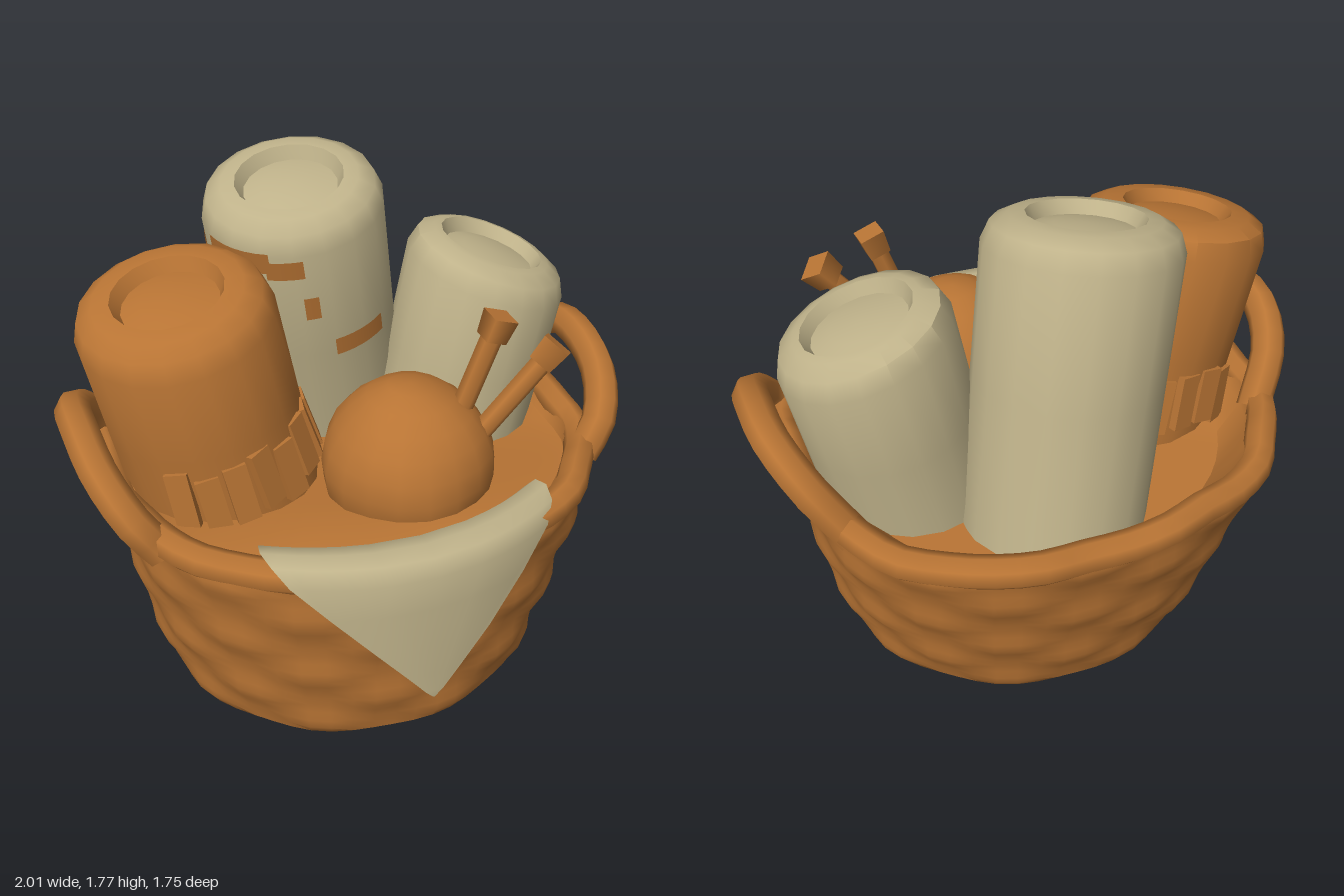
import * as THREE from 'three';
import { mergeVertices, toCreasedNormals } from 'three/addons/utils/BufferGeometryUtils.js';

const V = (x, y, z) => new THREE.Vector3(x, y, z);

// Radius factor that squares an oval slightly, at angle t
const squarish = t => Math.pow(Math.abs(Math.sin(t)) ** 2.4 + Math.abs(Math.cos(t)) ** 2.4, -1 / 2.4);

export function createModel() {
  const model = new THREE.Group();
  const wicker = new THREE.MeshStandardMaterial({ name: 'warm brown', color: 0xb87434 });
  const cream = new THREE.MeshStandardMaterial({ name: 'cream linen', color: 0xbfb28a });
  const brownSheet = new THREE.MeshStandardMaterial({ name: 'warm brown lining', color: 0xb87434 });
  brownSheet.side = THREE.DoubleSide;

  const add = (name, geometry, material, parent = model) => {
    const mesh = new THREE.Mesh(geometry, material);
    mesh.name = name;
    parent.add(mesh);
    return mesh;
  };

  // Move every vertex by a rule, then rebuild normals
  const deform = (geometry, rule, crease = 0.7) => {
    geometry.deleteAttribute('uv');
    geometry.deleteAttribute('normal');
    const g = mergeVertices(geometry, 1e-4);
    const p = g.attributes.position, v = V(0, 0, 0);
    for (let i = 0; i < p.count; i++) {
      rule(v.fromBufferAttribute(p, i));
      p.setXYZ(i, v.x, v.y, v.z);
    }
    return toCreasedNormals(g, crease);
  };

  // Group whose local y runs from a to b
  const along = (name, a, b) => {
    const g = new THREE.Group();
    g.name = name;
    g.position.copy(a);
    g.quaternion.setFromUnitVectors(V(0, 1, 0), b.clone().sub(a).normalize());
    model.add(g);
    return g;
  };

  // Basket: flared oval wall with over-and-under weave, filled inside
  const profile = [[0, 0], [0.665, 0]];
  for (let i = 0; i <= 20; i++) {
    const y = 0.02 + i * 0.04;
    profile.push([0.695 + 0.17 * Math.pow(y / 0.82, 0.75), y]);
  }
  profile.push([0.80, 0.84], [0.77, 0.79], [0.7, 0.75], [0.4, 0.74], [0, 0.74]);
  const basket = new THREE.LatheGeometry(profile.map(([r, y]) => new THREE.Vector2(r, y)), 60);
  add('basket', deform(basket, v => {
    const r = Math.hypot(v.x, v.z), t = Math.atan2(v.x, v.z);
    let k = 1 + (squarish(t) - 1) * Math.min(1, v.y / 0.7);
    if (r > 0.705 && v.y > 0.01 && v.y < 0.8) {
      const row = Math.floor(v.y / 0.14);
      k += 0.014 / r * (0.4 + Math.sin(10 * t + row * Math.PI)) * Math.abs(Math.sin(Math.PI * v.y / 0.14));
    } else if (r < 0.71 && v.y > 0.7) {
      v.y += 0.11 * v.z;
    }
    v.x *= k;
    v.z = v.z * k * 0.95 + 0.025 - 0.06 * v.y;
  }), wicker);

  // Thick lumpy rim
  const rim = [];
  for (let i = 0; i < 36; i++) {
    const t = i / 36 * Math.PI * 2, w = 0.01 * Math.sin(i * 2.1), k = squarish(t);
    rim.push(V((0.84 + w) * k * Math.sin(t), 0.815 + 0.008 * Math.sin(i * 1.7), -0.03 + (0.785 + w) * k * Math.cos(t)));
  }
  add('rim', new THREE.TubeGeometry(new THREE.CatmullRomCurve3(rim, true), 72, 0.056, 7, true), wicker);

  // Arched side handles, rooted in the rim
  for (const s of [1, -1]) {
    const path = [[0.77, 0.78, 0.38], [0.85, 0.89, 0.35], [0.915, 1.0, 0.22], [0.937, 1.06, 0.04],
      [0.935, 1.05, -0.13], [0.88, 0.96, -0.28], [0.77, 0.79, -0.38]].map(([x, y, z]) => V(s * x, y, z));
    add(s > 0 ? 'leftHandle' : 'rightHandle',
      new THREE.TubeGeometry(new THREE.CatmullRomCurve3(path), 16, 0.063, 7), wicker);
  }

  // Rolled blankets with a hollow end, cut at a slant (tx, tz)
  const roll = (name, a, b, r, tx, tz, material) => {
    const g = along(name, a, b), h = a.distanceTo(b);
    const pts = [[0, 0], [r, 0], [r, h * 0.5], [r, h - 0.1], [r - 0.025, h - 0.035], [r - 0.08, h - 0.005],
      [0.19, h], [0.165, h - 0.045], [0.1, h - 0.03], [0, h - 0.025]];
    const lathe = new THREE.LatheGeometry(pts.map(([x, y]) => new THREE.Vector2(x, y)), 18);
    add(name + 'Body', deform(lathe, v => {
      if (v.y > h * 0.6) v.y += tx * v.x + tz * v.z;
    }, 0.8), material, g);
    return { g, h };
  };
  const brown = roll('brownRoll', V(-0.425, 0.6, -0.01), V(-0.6, 1.49, -0.02), 0.333, 0, -0.15, wicker);
  const tall = roll('tallRoll', V(0.085, 0.65, -0.44), V(-0.09, 1.71, -0.29), 0.32, 0, -0.06, cream);
  roll('shortRoll', V(0.45, 0.6, -0.11), V(0.61, 1.43, -0.105), 0.297, -0.12, -0.09, cream);

  // Fringe around the foot of the brown roll
  for (let i = 0; i < 22; i++) {
    const t = i / 22 * Math.PI * 2;
    if (Math.sin(t) < -0.7) continue;
    const strip = add('fringeStrip', new THREE.BoxGeometry(0.08, 0.21, 0.03), wicker, brown.g);
    strip.position.set(0.34 * Math.sin(t), 0.3 + 0.02 * Math.sin(i * 2.3), 0.34 * Math.cos(t));
    strip.rotation.set(-0.12, t + 0.25 * Math.sin(i * 1.9), 0, 'YXZ');
  }

  // Brown patches on the tall roll: angle, width, height, distance below its end
  for (const [t, w, h, d] of [[-1.45, 0.9, 0.38, 0.36], [-1.0, 0.8, 0.08, 0.135], [-0.45, 0.4, 0.07, 0.165],
    [-0.22, 0.16, 0.09, 0.33], [0.3, 0.65, 0.07, 0.52]]) {
    const patch = add('patch', new THREE.CylinderGeometry(0.324, 0.324, h, 6, 1, true, t - w / 2, w), brownSheet, tall.g);
    patch.position.y = tall.h - d;
  }

  // Yarn ball
  const ball = add('yarnBall', deform(new THREE.SphereGeometry(0.3, 18, 12), v => {
    v.multiplyScalar(1 + 0.025 * Math.sin(14 * v.x + 9 * v.y) * Math.cos(11 * v.z));
  }, 0.9), wicker);
  ball.position.set(0.125, 0.87, 0.3);

  // Knitting needles with square knobs
  for (const [a, b, size, turn] of [[V(0.24, 0.95, 0.36), V(0.395, 1.415, 0.385), 0.062, Math.PI / 4],
    [V(0.28, 0.92, 0.4), V(0.585, 1.3, 0.44), 0.07, 0]]) {
    const g = along('needle', a, b), h = a.distanceTo(b);
    add('needleShaft', new THREE.CylinderGeometry(0.037, 0.037, h - 0.06, 6), wicker, g).position.y = h / 2 - 0.03;
    const knob = add('needleKnob', new THREE.CylinderGeometry(size, size * 0.85, 0.085, 4), wicker, g);
    knob.position.y = h - 0.0425;
    knob.rotation.y = turn;
  }

  // Triangular cloth draped over the front rim: y, z offset, half width
  const rows = [[0.83, -0.2, 0.47], [0.875, -0.16, 0.49], [0.888, -0.1, 0.5], [0.875, -0.04, 0.485],
    [0.82, -0.01, 0.445], [0.7, -0.005, 0.335], [0.55, 0, 0.2], [0.42, 0, 0.09], [0.345, 0.002, 0.03], [0.315, 0, 0.003]];
  const drape = thickness => {
    const g = new THREE.PlaneGeometry(2, 1, 12, rows.length - 1), p = g.attributes.position;
    for (let i = 0; i < p.count; i++) {
      const u = p.getX(i), [y, dz, half] = rows[Math.floor(i / 13)];
      const x = Math.sign(u) * Math.pow(Math.abs(u), 0.6) * half;
      const inset = thickness * Math.pow(Math.max(0, 1 - u * u), 0.15), onTop = dz < -0.03;
      p.setXYZ(i, x - 0.015, y - 0.03 * x * x - (onTop ? inset : 0), 0.87 + dz - 0.6 * x * x - (onTop ? 0 : inset));
    }
    g.computeVertexNormals();
    return g;
  };
  add('cloth', drape(0), cream);
  add('clothLining', drape(0.05), brownSheet);

  return model;
}
